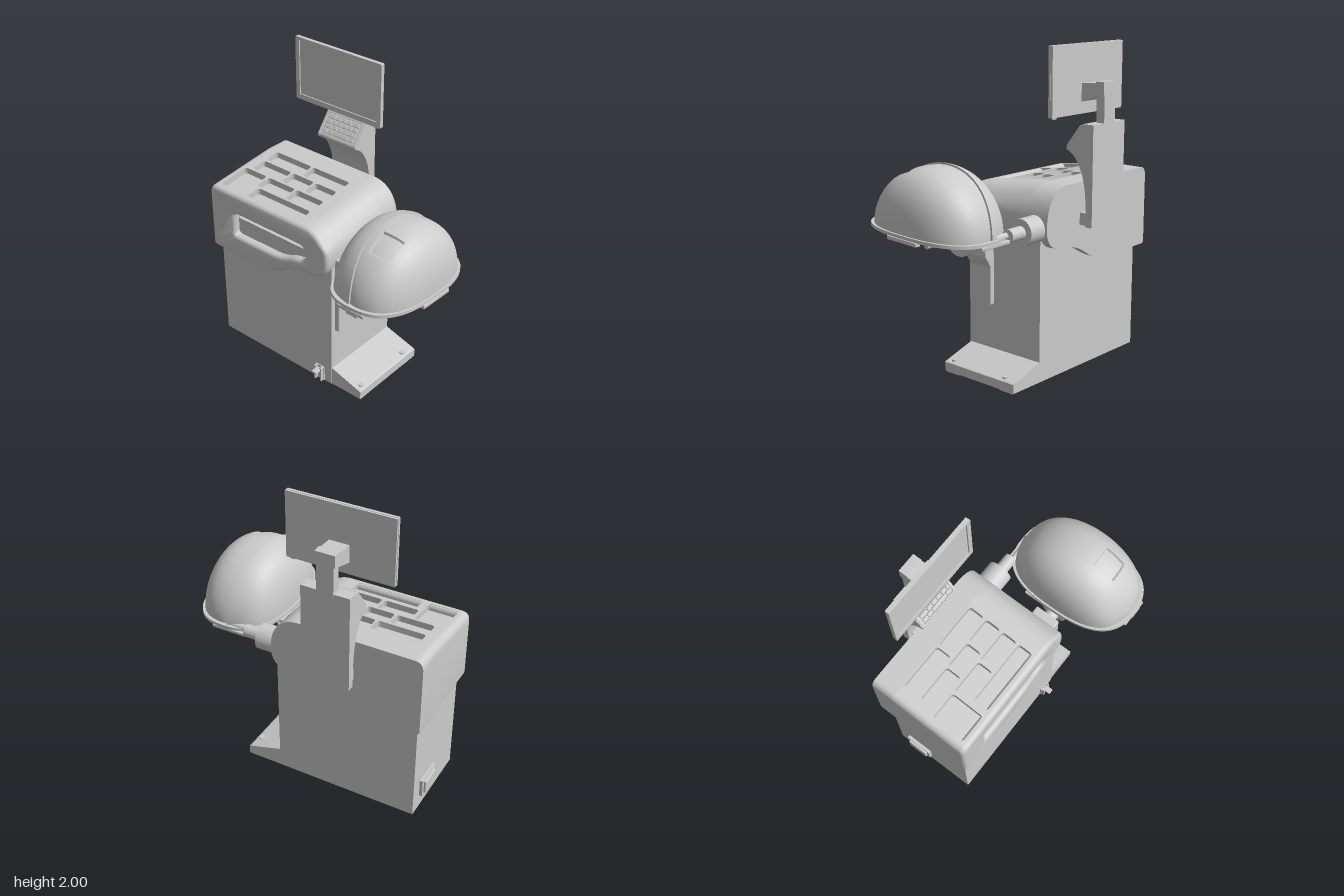
import * as THREE from 'three';
import { toCreasedNormals } from 'three/addons/utils/BufferGeometryUtils.js';
import { RoundedBoxGeometry } from 'three/addons/geometries/RoundedBoxGeometry.js';

const grey = new THREE.MeshStandardMaterial({ color: 0xcccccc });
const greyThin = new THREE.MeshStandardMaterial({ color: 0xcccccc, side: THREE.DoubleSide });

export function createModel() {
  const model = new THREE.Group();

  const add = (name, geo, parent = model, mat = grey) => {
    const m = new THREE.Mesh(geo, mat);
    m.name = name;
    parent.add(m);
    return m;
  };
  // box given by its limits
  const box = (name, x0, x1, y0, y1, z0, z1, parent = model, r = 0) => {
    const s = [x1 - x0, y1 - y0, z1 - z0];
    const g = r ? new RoundedBoxGeometry(...s, 2, r) : new THREE.BoxGeometry(...s);
    return add(name, g.translate((x0 + x1) / 2, (y0 + y1) / 2, (z0 + z1) / 2), parent);
  };
  // cylinder lying along x
  const rod = (name, x0, x1, r, y, z, parent = model, r2 = r) =>
    add(name, new THREE.CylinderGeometry(r, r2, x1 - x0, 40).rotateZ(Math.PI / 2).translate((x0 + x1) / 2, y, z), parent);
  const poly = (pts) => new THREE.Shape(pts.map((p) => new THREE.Vector2(...p)));
  // extrusion of an xy shape from z0 to z1, with an optional rounded edge
  const slab = (shape, z0, z1, bevel = 0) =>
    new THREE.ExtrudeGeometry(shape, {
      depth: z1 - z0 - 2 * bevel, curveSegments: 14, bevelEnabled: bevel > 0,
      bevelSize: bevel, bevelThickness: bevel, bevelOffset: -bevel, bevelSegments: 4,
    }).translate(0, 0, z0 + bevel);
  // extrusion of a (z, y) profile from x0 to x1
  const sideSlab = (pts, x0, x1) => slab(poly(pts), 0, x1 - x0).rotateY(-Math.PI / 2).translate(x1, 0, 0);
  const roundRect = (x0, x1, y0, y1, r, Type = THREE.Path) => {
    const p = new Type();
    p.absarc(x1 - r, y1 - r, r, 0, Math.PI / 2);
    p.absarc(x0 + r, y1 - r, r, Math.PI / 2, Math.PI);
    p.absarc(x0 + r, y0 + r, r, Math.PI, Math.PI * 1.5);
    p.absarc(x1 - r, y0 + r, r, Math.PI * 1.5, Math.PI * 2);
    p.closePath();
    return p;
  };

  // ---- cabinet, foot plate and small fittings
  box('cabinet', -0.79, 0.143, 0.008, 0.95, -0.355, 0.213);
  for (const x of [-0.78, 0.17]) for (const z of [-0.34, 0.1]) box('levellingPad', x, x + 0.2, 0, 0.01, z, z + 0.1);
  add('footPlate', slab(poly([[0.14, 0.008], [0.375, 0.008], [0.375, 0.063], [0.365, 0.068], [0.14, 0.135]]), -0.355, 0.208));
  for (const z of [-0.26, 0.16]) add('footBolt', new THREE.CylinderGeometry(0.018, 0.018, 0.016, 20).translate(0.34, 0.075, z));
  box('powerSocketFrame', -0.81, -0.78, 0.095, 0.215, -0.27, -0.09);
  box('powerSocket', -0.825, -0.8, 0.11, 0.2, -0.25, -0.11, model, 0.006);
  box('pedalBracketBack', 0.015, 0.085, 0.012, 0.115, 0.21, 0.22);
  for (const x of [0.02, 0.068]) box('pedalBracketCheek', x, x + 0.012, 0.012, 0.115, 0.215, 0.242);
  box('pedal', 0.03, 0.07, 0.085, 0.1, 0.22, 0.28, model, 0.005);

  // ---- head: sliced so that the top trays and the front pocket are real recesses
  const head = new THREE.Group();
  head.name = 'head';
  model.add(head);
  const clamp = THREE.MathUtils.clamp;
  const slopeTop = (geo) => {
    const p = geo.attributes.position;
    for (let i = 0; i < p.count; i++) {
      const t = clamp((p.getZ(i) + 0.25) / 0.51, 0, 1) * clamp((p.getY(i) - 1.02) / 0.1, 0, 1);
      p.setY(i, p.getY(i) - 0.055 * t);
    }
    return toCreasedNormals(geo, 0.6);
  };
  const headShape = (notch, pocket) => {
    const s = new THREE.Shape();
    s.moveTo(-0.8, 0.69);
    s.lineTo(-0.42, 0.69);
    s.bezierCurveTo(-0.22, 0.69, -0.2, 0.82, 0.0, 0.82);
    s.bezierCurveTo(0.1, 0.82, 0.15, 0.87, 0.15, 0.96);
    s.bezierCurveTo(0.15, 1.1, 0.08, 1.195, -0.04, 1.195);
    if (notch) for (const q of [[-0.09, 1.195], [-0.09, 1.155], [-0.772, 1.155], [-0.772, 1.195]]) s.lineTo(...q);
    s.lineTo(-0.774, 1.195);
    s.quadraticCurveTo(-0.825, 1.195, -0.825, 1.135);
    s.lineTo(-0.825, 0.715);
    s.quadraticCurveTo(-0.825, 0.69, -0.8, 0.69);
    if (pocket) {
      const h = new THREE.Path();
      h.moveTo(-0.6, 0.84);
      h.lineTo(-0.3, 0.84);
      h.bezierCurveTo(-0.18, 0.84, -0.16, 0.885, -0.08, 0.89);
      h.bezierCurveTo(-0.01, 0.9, -0.01, 1.0, -0.08, 1.0);
      h.lineTo(-0.6, 1.0);
      h.quadraticCurveTo(-0.625, 1.0, -0.625, 0.975);
      h.lineTo(-0.625, 0.865);
      h.quadraticCurveTo(-0.625, 0.84, -0.6, 0.84);
      s.holes.push(h);
    }
    return s;
  };
  add('headFront', slopeTop(slab(headShape(false, true), 0.2, 0.262, 0.025)), head);
  add('headPocketWall', slopeTop(slab(headShape(true, true), 0.16, 0.23)), head);
  add('headMiddle', slopeTop(slab(headShape(true, false), -0.26, 0.16)), head);
  add('headBack', slopeTop(slab(headShape(false, false), -0.41, -0.26)), head);

  // tray limits: x0, x1, z0, z1
  const trays = [
    [-0.72, -0.417, -0.25, -0.145], [-0.404, -0.104, -0.25, -0.145],
    [-0.72, -0.48, -0.128, -0.022], [-0.466, -0.29, -0.128, -0.022], [-0.276, -0.104, -0.128, -0.022],
    [-0.563, -0.338, -0.005, 0.1], [-0.325, -0.104, -0.005, 0.1],
    [-0.536, -0.104, 0.115, 0.217], [-0.765, -0.58, -0.005, 0.217],
  ];
  const top = poly([[-0.772, -0.23], [-0.09, -0.23], [-0.09, 0.26], [-0.772, 0.26]]);
  for (const [x0, x1, z0, z1] of trays) top.holes.push(roundRect(x0, x1, -z1, -z0, 0.02));
  add('trayTop', slopeTop(slab(top, 0, 0.04).rotateX(-Math.PI / 2).translate(0, 1.155, 0)), head);

  // ---- wheel shaft
  add('shaftCover', slab(poly([[0.14, 0.42], [0.175, 0.42], [0.175, 0.66], [0.22, 0.73], [0.22, 0.95], [0.14, 0.95]]), 0.01, 0.18, 0.008));
  const shaft = [
    ['shaftCollar', 0.21, 0.28, 0.042], ['shaftHub', 0.278, 0.345, 0.085], ['shaftFlange', 0.343, 0.356, 0.115],
    ['shaftBoss', 0.35, 0.39, 0.036], ['shaftRod', 0.38, 0.56, 0.021], ['shaftTip', 0.555, 0.622, 0.016],
  ];
  for (const [name, x0, x1, r] of shaft) rod(name, x0, x1, r, 0.865, 0.097);

  // ---- hood pivot and arm
  rod('hoodPivot', 0.14, 0.27, 0.081, 0.95, -0.315);
  rod('hoodAxle', 0.26, 0.38, 0.04, 0.95, -0.315);
  rod('hoodAxleEnd', 0.37, 0.48, 0.02, 0.95, -0.3);

  // ---- hood: scaled half-ellipse sections along x, with a raised left band and a sunk window
  const hood = new THREE.Group();
  hood.name = 'hood';
  hood.position.set(0.535, 0.953, 0.09);
  hood.rotation.x = -0.04;
  model.add(hood);
  const halfX = 0.272, R = 0.42, H = 0.385, P = 2.6;
  const stations = (n, extra) => [...Array.from({ length: n + 1 }, (_, i) => (i * Math.PI) / n), ...extra].sort((a, b) => a - b);
  const win = { x: [-0.022, 0.126], t: [0.87, 1.27] }, e = 0.008;
  const phis = stations(48, [-0.085, -0.07, win.x[0], win.x[0] + e, win.x[1] - e, win.x[1]].map((x) => Math.acos(-x / halfX)));
  const ts = stations(48, [win.t[0], win.t[0] + 0.02, win.t[1] - 0.02, win.t[1]]);
  const pos = [], idx = [];
  const eps = 1e-4;
  phis.forEach((phi, i) => ts.forEach((t, j) => {
    const x = -halfX * Math.cos(phi);
    const inWin = x > win.x[0] + eps && x < win.x[1] - eps && t > win.t[0] + eps && t < win.t[1] - eps;
    let s = Math.pow(Math.max(0, 1 - Math.pow(Math.abs(x / halfX), P)), 1 / P);
    s *= (x > -0.07 - eps ? 0.97 : 1) * (inWin ? 0.965 : 1);
    const shift = 0.055 * Math.abs(Math.cos(t)) ** 3 * Math.exp(-(((x + 0.075) / 0.08) ** 2));
    pos.push(x + shift, H * s * Math.sin(t), R * s * Math.cos(t));
    if (i && j) {
      const n = ts.length, d = i * n + j, b = d - n;
      idx.push(b - 1, d - 1, b, d - 1, d, b);
    }
  }));
  const hoodGeo = new THREE.BufferGeometry();
  hoodGeo.setAttribute('position', new THREE.Float32BufferAttribute(pos, 3));
  hoodGeo.setIndex(idx);
  add('hoodShell', toCreasedNormals(hoodGeo, 0.5), hood, greyThin);

  // rim flange with clips
  const oval = (a, b, Type) => new Type(Array.from({ length: 72 }, (_, k) => {
    const c = Math.cos((k * Math.PI) / 36), s = Math.sin((k * Math.PI) / 36), q = 2 / P;
    return new THREE.Vector2(a * Math.sign(c) * Math.abs(c) ** q, b * Math.sign(s) * Math.abs(s) ** q);
  }));
  const rim = oval(0.284, 0.43, THREE.Shape);
  rim.holes.push(oval(0.255, 0.4, THREE.Path));
  add('hoodRim', toCreasedNormals(slab(rim, 0, 0.02).rotateX(-Math.PI / 2).translate(0, -0.005, 0), 0.6), hood);
  box('frontClip', -0.09, 0.1, -0.025, -0.003, 0.39, 0.43, hood, 0.005);
  box('frontHandle', -0.02, 0.06, -0.037, -0.003, 0.4, 0.432, hood, 0.005);
  box('backClip', -0.15, 0.08, -0.025, -0.003, -0.43, -0.38, hood, 0.005);
  box('rightClip', 0.25, 0.288, -0.028, -0.003, -0.12, 0.12, hood, 0.005);
  box('leftClip', -0.283, -0.25, -0.025, -0.003, -0.2, 0.1, hood, 0.005);

  // ---- column with keyboard desk
  const curve = new THREE.CubicBezierCurve(
    new THREE.Vector2(-0.325, 1.385), new THREE.Vector2(-0.41, 1.36),
    new THREE.Vector2(-0.475, 1.24), new THREE.Vector2(-0.475, 1.03)).getPoints(14).map((p) => [p.x, p.y]);
  add('column', toCreasedNormals(sideSlab([[-0.522, 1.545], [-0.522, 0.935], [-0.475, 0.935], ...curve.reverse(),
    [-0.325, 1.4], [-0.425, 1.53], [-0.445, 1.545]], -0.43, -0.125), 0.5));
  box('columnBracket', -0.4, -0.155, 0.935, 1.01, -0.5, -0.4);

  const keyboard = new THREE.Group();
  keyboard.name = 'keyboard';
  keyboard.position.set(-0.2775, 1.465, -0.375);
  keyboard.rotation.x = -Math.atan2(0.1, 0.13);
  model.add(keyboard);
  const bezel = roundRect(-0.145, 0.145, -0.078, 0.078, 0.008, THREE.Shape);
  bezel.holes.push(roundRect(-0.133, 0.133, -0.068, 0.068, 0.005));
  add('keyboardBezel', slab(bezel, 0, 0.008), keyboard);
  // key widths per row, in units of one key
  const rows = [[1.5, 1, 1, 1, 1.5], [1, 1, 1, 1, 1, 1], [1.5, 1, 1, 1, 1, 0.5], [1, 1, 3, 1]];
  rows.forEach((row, r) => {
    let x = -0.126;
    const unit = 0.252 / row.reduce((a, b) => a + b);
    for (const w of row) {
      const y = 0.048 - r * 0.032;
      box('key', x + 0.003, x + w * unit - 0.003, y - 0.013, y + 0.013, -0.003, 0.011, keyboard, 0.003);
      x += w * unit;
    }
  });

  // ---- monitor and its arm
  box('monitorPost', -0.33, -0.225, 1.53, 1.74, -0.524, -0.467);
  add('monitorArm', sideSlab([[-0.36, 1.66], [-0.36, 1.77], [-0.465, 1.775], [-0.47, 1.785], [-0.525, 1.785],
    [-0.525, 1.71], [-0.47, 1.695]].reverse(), -0.34, -0.215));
  const frame = roundRect(-0.615, 0.057, 1.587, 2.0, 0.006, THREE.Shape);
  frame.holes.push(roundRect(-0.585, 0.027, 1.622, 1.983, 0.004));
  add('monitorFrame', slab(frame, -0.352, -0.335));
  box('monitorPanel', -0.613, 0.055, 1.589, 1.998, -0.364, -0.343);
  box('monitorButton', 0.005, 0.035, 1.578, 1.59, -0.355, -0.342);

  return model;
}
